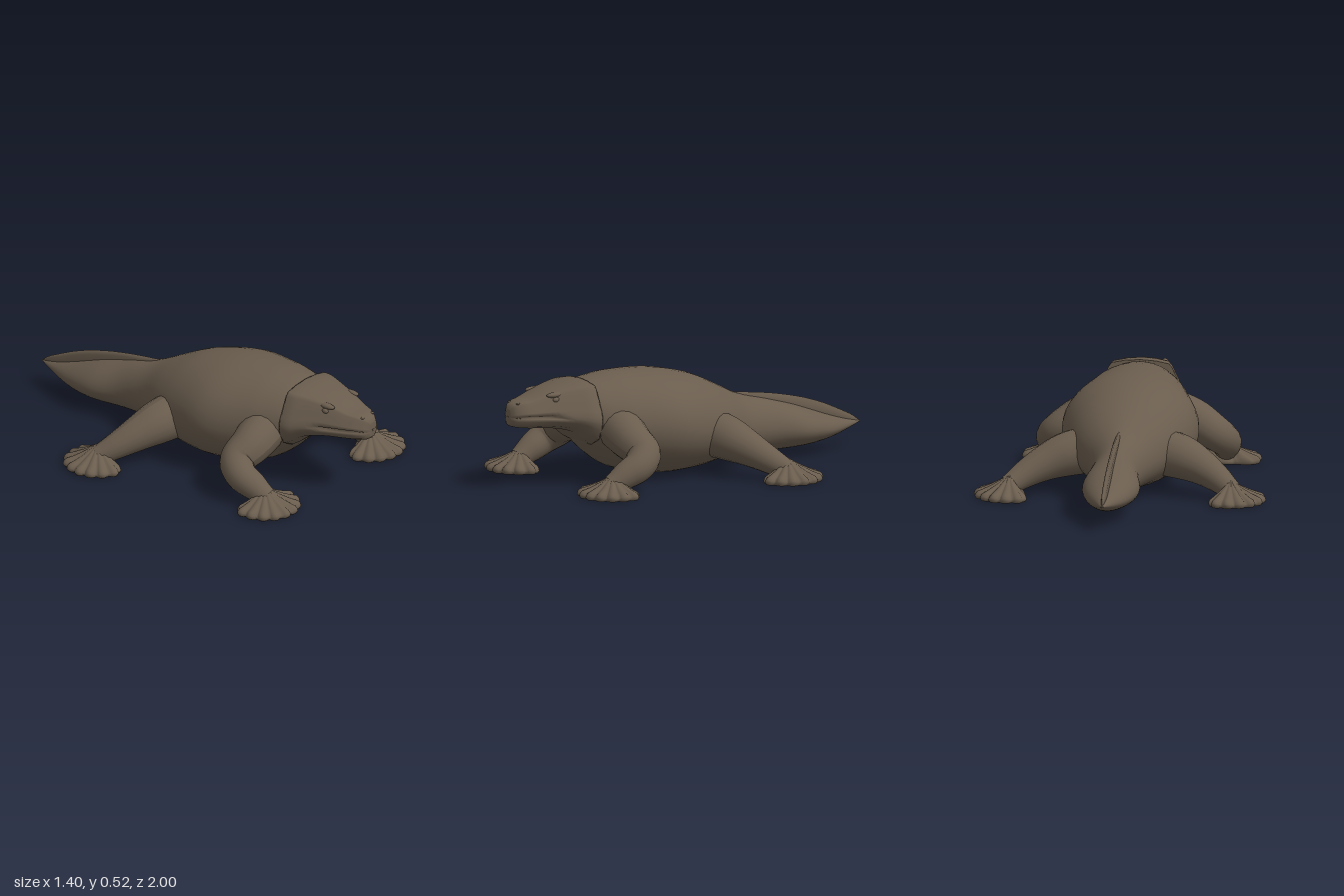
import * as THREE from 'three';

const hide = new THREE.MeshStandardMaterial({ color: 0x6a5d4e });
hide.name = 'brown hide';

// Smooth interpolation through the rows of a small profile table
function refine(rows, steps) {
  const out = [];
  for (let i = 0; i < rows.length - 1; i++) {
    const a = rows[Math.max(i - 1, 0)], b = rows[i], c = rows[i + 1], d = rows[Math.min(i + 2, rows.length - 1)];
    for (let s = 0; s < steps; s++) {
      const t = s / steps;
      out.push(b.map((v, k) => v + 0.5 * t * (c[k] - a[k] + t * (2 * a[k] - 5 * v + 4 * c[k] - d[k] + t * (3 * (v - c[k]) + d[k] - a[k])))));
    }
  }
  out.push(rows[rows.length - 1]);
  return out;
}

// Skin over closed rings of [x, y, z], counter-clockwise about the axis they run down
function loft(rings) {
  const n = rings[0].length, index = [];
  for (let i = 0; i < rings.length - 1; i++) {
    for (let j = 0; j < n; j++) {
      const a = i * n + j, b = i * n + (j + 1) % n, c = a + n, d = b + n;
      index.push(a, c, b, b, c, d);
    }
  }
  const g = new THREE.BufferGeometry();
  g.setAttribute('position', new THREE.Float32BufferAttribute(rings.flat(2), 3));
  g.setIndex(index);
  g.computeVertexNormals();
  return g;
}

const closeAt = (ring, x, y, z) => ring.map(() => [x, y, z]);

function mirrored(geometry) {
  const g = geometry.clone().scale(-1, 1, 1);
  const idx = g.index.array;
  for (let i = 0; i < idx.length; i += 3) [idx[i], idx[i + 1]] = [idx[i + 1], idx[i]];
  g.computeVertexNormals();
  return g;
}

// Trunk and tail: z, top, bottom, half width, height of widest point
function bodyGeometry() {
  const rows = refine([
    [0.66, 0.45, 0.27, 0.13, 0.36], [0.6, 0.497, 0.19, 0.195, 0.33], [0.5, 0.517, 0.1, 0.245, 0.3],
    [0.4, 0.525, 0.05, 0.28, 0.28], [0.2, 0.517, 0.011, 0.328, 0.26], [0, 0.475, 0.015, 0.285, 0.23],
    [-0.15, 0.41, 0.037, 0.225, 0.21], [-0.3, 0.338, 0.04, 0.145, 0.18], [-0.45, 0.3, 0.04, 0.115, 0.16],
    [-0.6, 0.257, 0.043, 0.137, 0.14], [-0.7, 0.222, 0.05, 0.124, 0.13], [-0.8, 0.186, 0.066, 0.09, 0.12],
    [-0.9, 0.155, 0.092, 0.045, 0.12], [-1, 0.13, 0.126, 0.003, 0.128],
  ], 4);
  const rings = rows.map(([z, top, bottom, w, mid]) => {
    const power = 1 + 0.25 * THREE.MathUtils.smoothstep(-z, 0.1, 0.5);
    return Array.from({ length: 40 }, (_, j) => {
      const a = j / 40 * Math.PI * 2, c = Math.cos(a), s = Math.sin(a);
      return [w * Math.sign(c) * Math.abs(c) ** power, mid + s * (s > 0 ? top - mid : mid - bottom), z];
    });
  });
  return loft([closeAt(rings[0], 0, 0.36, 0.66), ...rings, closeAt(rings[0], 0, 0.128, -1)]);
}

// Head with a flat crown and a lip groove: z, top, mouth, bottom, half width
function headGeometry() {
  const rows = refine([
    [1, 0.395, 0.356, 0.325, 0.02], [0.985, 0.42, 0.357, 0.312, 0.052], [0.95, 0.435, 0.36, 0.305, 0.082],
    [0.9, 0.445, 0.36, 0.3, 0.105], [0.8, 0.478, 0.355, 0.293, 0.14], [0.7, 0.5, 0.345, 0.27, 0.18],
    [0.64, 0.508, 0.335, 0.225, 0.205], [0.595, 0.508, 0.33, 0.195, 0.208],
  ], 4);
  const rings = rows.map(([z, top, mouth, bottom, w]) => {
    const groove = 1 - 0.2 * THREE.MathUtils.smoothstep(z, 0.74, 0.82);
    const half = [[0, -1], [0.5, -0.97], [0.82, -0.72], [0.96, -0.35], [1, -0.12], [groove, -0.02], [1, 0.09],
      [0.95, 0.25], [0.83, 0.55], [0.73, 0.8], [0.66, 0.9], [0.36, 0.97], [0, 1]];
    const loop = [...half, ...half.slice(1, -1).reverse().map(([u, t]) => [-u, t])];
    return loop.map(([u, t]) => [u * w, mouth + t * (t > 0 ? top - mouth : mouth - bottom), z]);
  });
  return loft([closeAt(rings[0], 0, 0.36, 1), ...rings, closeAt(rings[0], 0, 0.33, 0.595)]);
}

// Thin crest along the tail: z, top, bottom, half width
function crestGeometry() {
  const rows = refine([
    [-0.28, 0.345, 0.3, 0.012], [-0.4, 0.331, 0.25, 0.018], [-0.5, 0.316, 0.24, 0.018], [-0.6, 0.296, 0.2, 0.018],
    [-0.7, 0.27, 0.17, 0.018], [-0.8, 0.235, 0.15, 0.017], [-0.9, 0.19, 0.13, 0.015], [-0.96, 0.16, 0.12, 0.009],
    [-1, 0.13, 0.125, 0.001],
  ], 3);
  const rings = rows.map(([z, t, b, w]) => {
    const shoulder = t - 0.2 * (t - b);
    return [[w, b, z], [0.7 * w, shoulder, z], [0, t, z], [-0.7 * w, shoulder, z], [-w, b, z]];
  });
  return loft([closeAt(rings[0], 0, 0.31, -0.28), ...rings, closeAt(rings[0], 0, 0.128, -1)]);
}

// Tapered limb along a curve: rows of x, y, z, radius
function limbGeometry(rows) {
  const curve = new THREE.CatmullRomCurve3(rows.map(([x, y, z]) => new THREE.Vector3(x, y, z)));
  const fine = refine(rows, 6), n = fine.length - 1, sides = 18;
  const g = new THREE.TubeGeometry(curve, n, 1, sides), p = g.attributes.position, v = new THREE.Vector3();
  for (let i = 0; i < p.count; i++) {
    const ring = Math.floor(i / (sides + 1)), centre = curve.getPointAt(ring / n);
    v.fromBufferAttribute(p, i).sub(centre).multiplyScalar(fine[ring][3]).add(centre);
    p.setXYZ(i, v.x, v.y, v.z);
  }
  g.computeVertexNormals();
  return g;
}

// Webbed foot: a low fan with scalloped, softly ridged toes
function footGeometry(cx, cz, heading, reach, height) {
  const layer = (f, base, slope) => Array.from({ length: 108 }, (_, j) => {
    const d = j / 108 * Math.PI * 2 - Math.PI, a = heading + d;
    const fan = 1 - THREE.MathUtils.smoothstep(Math.abs(d), 1.65, 2.4);
    const toe = Math.abs(Math.cos(8 * d)) ** 0.7;
    const r = f * reach * (0.45 + fan * (0.42 + 0.13 * toe));
    const ridge = 0.014 * toe * fan * f * f;
    return [cx + r * Math.sin(a), base + slope * (height * (1 - f) ** 1.15 + ridge), cz + r * Math.cos(a)];
  });
  return loft([
    ...[0.001, 0.2, 0.4, 0.55, 0.7, 0.82, 0.92].map(f => layer(f, 0.026, 1)),
    layer(0.98, 0.02, 0.8), layer(1, 0.014, 0.4),
    ...[0.95, 0.6, 0.001].map(f => layer(f, 0.007, 0)),
  ]);
}

export function createModel() {
  const model = new THREE.Group();
  model.name = 'amphibian';
  const add = (geometry, name) => {
    const mesh = new THREE.Mesh(geometry, hide);
    mesh.name = name;
    model.add(mesh);
  };
  const pair = (geometry, name) => {
    add(geometry, 'left' + name);
    add(mirrored(geometry), 'right' + name);
  };

  add(bodyGeometry(), 'bodyAndTail');
  add(headGeometry(), 'head');
  add(crestGeometry(), 'tailCrest');

  // Legs and feet
  pair(limbGeometry([
    [0.08, 0.31, 0.47, 0.1], [0.19, 0.275, 0.485, 0.107], [0.29, 0.235, 0.488, 0.102], [0.375, 0.185, 0.475, 0.088],
    [0.415, 0.14, 0.525, 0.078], [0.412, 0.1, 0.6, 0.068], [0.405, 0.055, 0.68, 0.05],
  ]), 'FrontLeg');
  pair(footGeometry(0.405, 0.67, 0.2, 0.17, 0.085), 'FrontFoot');
  pair(limbGeometry([
    [0.07, 0.2, -0.03, 0.11], [0.17, 0.2, -0.045, 0.112], [0.27, 0.185, -0.075, 0.105], [0.37, 0.15, -0.12, 0.085],
    [0.46, 0.105, -0.175, 0.066], [0.54, 0.055, -0.24, 0.05],
  ]), 'HindLeg');
  pair(footGeometry(0.53, -0.245, 1.95, 0.17, 0.09), 'HindFoot');

  // Sunken eyes under low brows, and nostrils
  const ball = (r, sx, sy, sz, x, y, z) => new THREE.SphereGeometry(r, 16, 10).scale(sx, sy, sz).translate(x, y, z);
  pair(ball(0.016, 0.7, 0.8, 1.2, 0.106, 0.437, 0.795), 'Eye');
  pair(ball(0.026, 0.7, 0.5, 1.8, 0.093, 0.459, 0.795), 'Brow');
  pair(ball(0.009, 1, 0.6, 1, 0.038, 0.424, 0.968), 'Nostril');

  // Small teeth along the front of the mouth
  for (let i = -4; i <= 4; i++) {
    const a = i * 0.24;
    add(new THREE.ConeGeometry(0.005, 0.018, 6).rotateX(Math.PI)
      .translate(0.07 * Math.sin(a), 0.353, 0.925 + 0.073 * Math.cos(a)), 'tooth');
  }
  return model;
}
